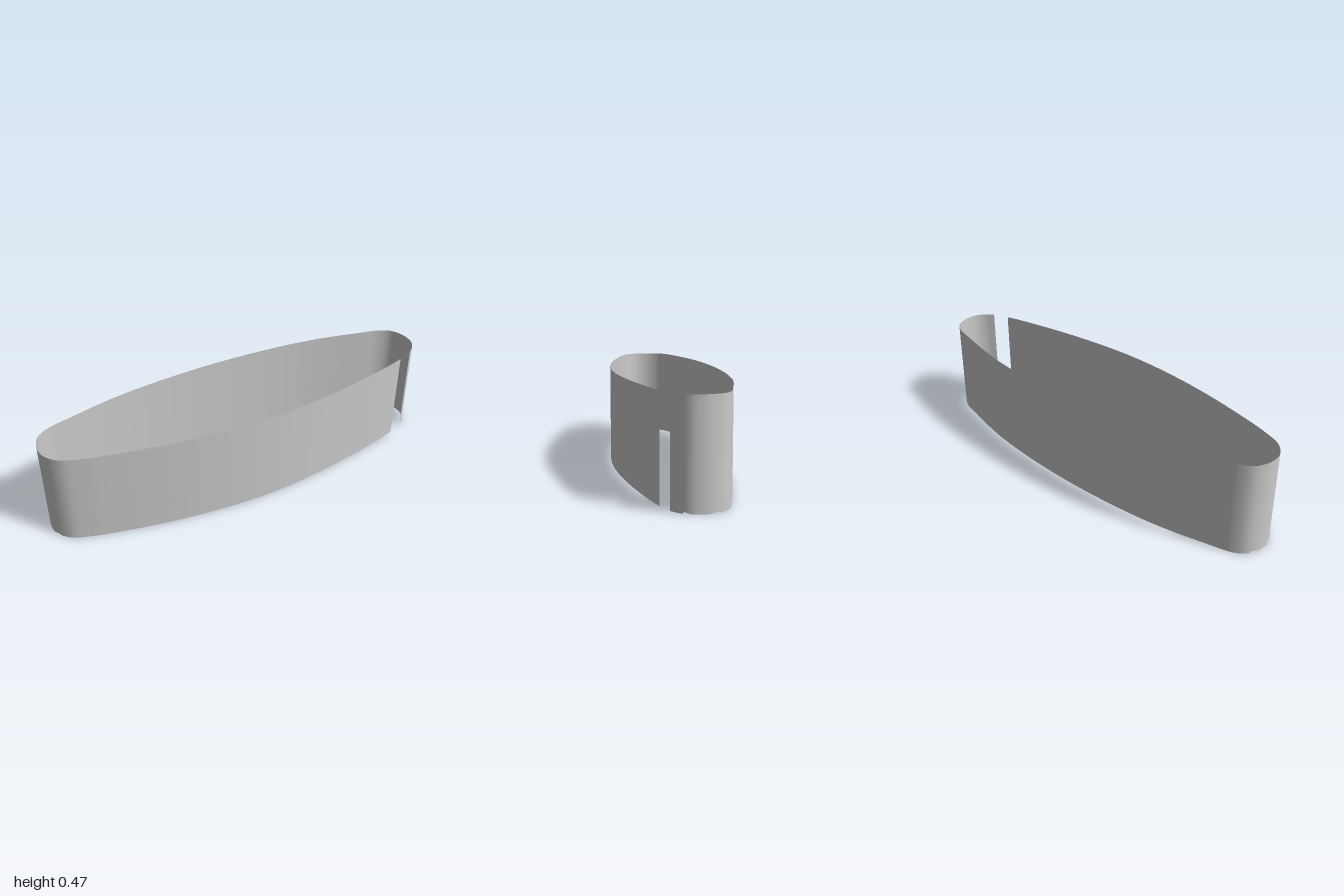
import * as THREE from 'three';

const HEIGHT = 0.47;

// Tiny ramped nicks in the bottom edge at both rounded ends
function bottomAt(x, z) {
  if (Math.abs(x) < 0.95) return 0;
  if (z > 0.03 && z < 0.06) return 0.009 * (z - 0.03) / 0.03;
  if (z < -0.05 && z > -0.085) return 0.009 * (-0.05 - z) / 0.035;
  return 0;
}

export function createModel() {
  const group = new THREE.Group();
  group.name = 'openBand';

  // Plan outline (x, z): from one lip of the slot, round the back, to the other lip
  const backHalf = [[1, 0], [0.995, -0.05], [0.968, -0.105], [0.915, -0.14], [0.8, -0.17],
    [0.65, -0.206], [0.5, -0.233], [0.25, -0.257]];
  const mirrored = backHalf.slice().reverse().map(([x, z]) => [-x, z]);
  const outline = [
    [0.93, 0.107], [0.97, 0.073], [0.993, 0.036],
    ...backHalf, [0, -0.265], ...mirrored,
    [-0.993, 0.036], [-0.97, 0.073], [-0.93, 0.107], [-0.85, 0.137], [-0.78, 0.157],
    [-0.5, 0.217], [-0.25, 0.251], [0, 0.264], [0.25, 0.25], [0.5, 0.215], [0.78, 0.157], [0.85, 0.137],
  ];
  const curve = new THREE.CatmullRomCurve3(outline.map(([x, z]) => new THREE.Vector3(x, 0, z)), false, 'centripetal');

  // Thin wall raised from the outline
  const steps = 600;
  const positions = [], normals = [], indices = [];
  for (let i = 0; i <= steps; i++) {
    const p = curve.getPointAt(i / steps);
    const t = curve.getTangentAt(i / steps);
    positions.push(p.x, bottomAt(p.x, p.z), p.z, p.x, HEIGHT, p.z);
    for (let k = 0; k < 2; k++) normals.push(-t.z, 0, t.x);
    if (i < steps) {
      const a = i * 2;
      indices.push(a, a + 2, a + 1, a + 2, a + 3, a + 1);
    }
  }
  const geometry = new THREE.BufferGeometry();
  geometry.setAttribute('position', new THREE.Float32BufferAttribute(positions, 3));
  geometry.setAttribute('normal', new THREE.Float32BufferAttribute(normals, 3));
  geometry.setIndex(indices);

  const material = new THREE.MeshStandardMaterial({ color: 0xcccccc, side: THREE.DoubleSide });
  const wall = new THREE.Mesh(geometry, material);
  wall.name = 'bandWall';
  group.add(wall);
  return group;
}
